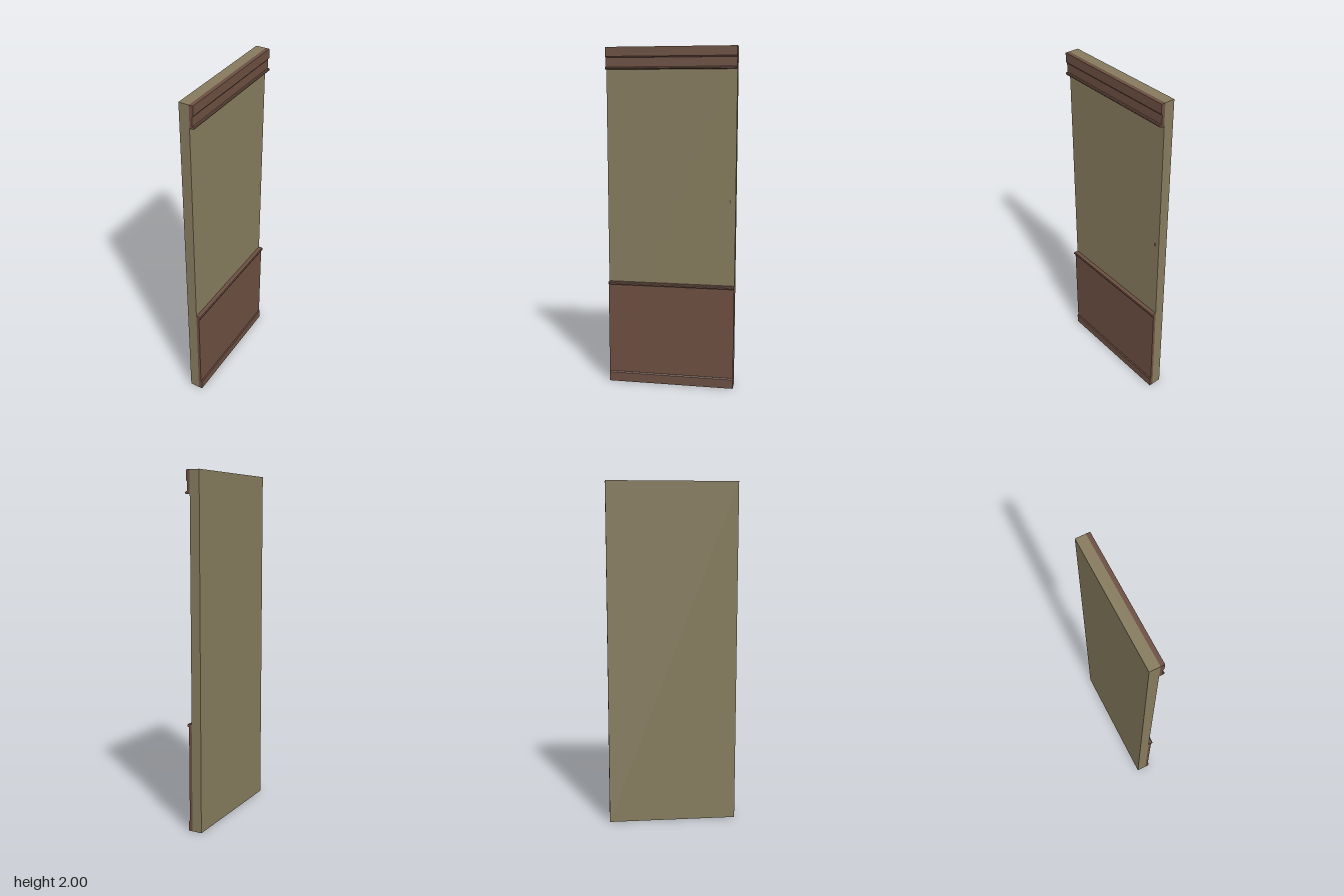
import * as THREE from 'three';

const DEPTH = 0.756;      // full length along z
const FACE = 0.015;       // x of the wall's finished face

export function createModel() {
  const model = new THREE.Group();
  model.name = 'panelledWall';
  const plaster = new THREE.MeshStandardMaterial({ name: 'olive plaster', color: 0x857a5d });
  const wood = new THREE.MeshStandardMaterial({ name: 'brown wood', color: 0x6b4e41 });

  // Extrudes an x-y section along the wall
  function strip(name, points, material) {
    const shape = new THREE.Shape(points.map(([x, y]) => new THREE.Vector2(x, y)));
    const geometry = new THREE.ExtrudeGeometry(shape, { depth: DEPTH, bevelEnabled: false });
    geometry.translate(0, 0, -DEPTH / 2);
    const mesh = new THREE.Mesh(geometry, material);
    mesh.name = name;
    model.add(mesh);
  }
  const rect = (x0, x1, y0, y1) => [[x0, y0], [x1, y0], [x1, y1], [x0, y1]];
  // Small moulding with softened outer corners
  const bead = (y0, y1, x1 = 0.043, c = 0.004) => [
    [FACE, y0], [x1 - c, y0], [x1, y0 + c], [x1, y1 - c], [x1 - c, y1], [FACE, y1],
  ];

  strip('wall', rect(-0.043, FACE, 0, 2), plaster);

  // Lower panelling
  strip('baseboard', [[FACE, 0], [0.038, 0], [0.038, 0.055], [0.033, 0.062], [FACE, 0.062]], wood);
  strip('wainscot', rect(FACE, 0.032, 0.062, 0.61), wood);
  strip('chairRail', bead(0.609, 0.625), wood);

  // Top trim
  strip('pictureRail', bead(1.874, 1.888), wood);
  strip('frieze', rect(FACE, 0.031, 1.888, 1.94), wood);
  strip('cornice', [[FACE, 1.94], [0.033, 1.94], [0.038, 1.947], [0.038, 2], [FACE, 2]], wood);

  // Tiny plate on the wall face
  const plate = new THREE.Mesh(new THREE.BoxGeometry(0.002, 0.018, 0.007), wood);
  plate.name = 'wallPlate';
  plate.position.set(FACE + 0.0005, 1.125, -0.347);
  model.add(plate);

  return model;
}
